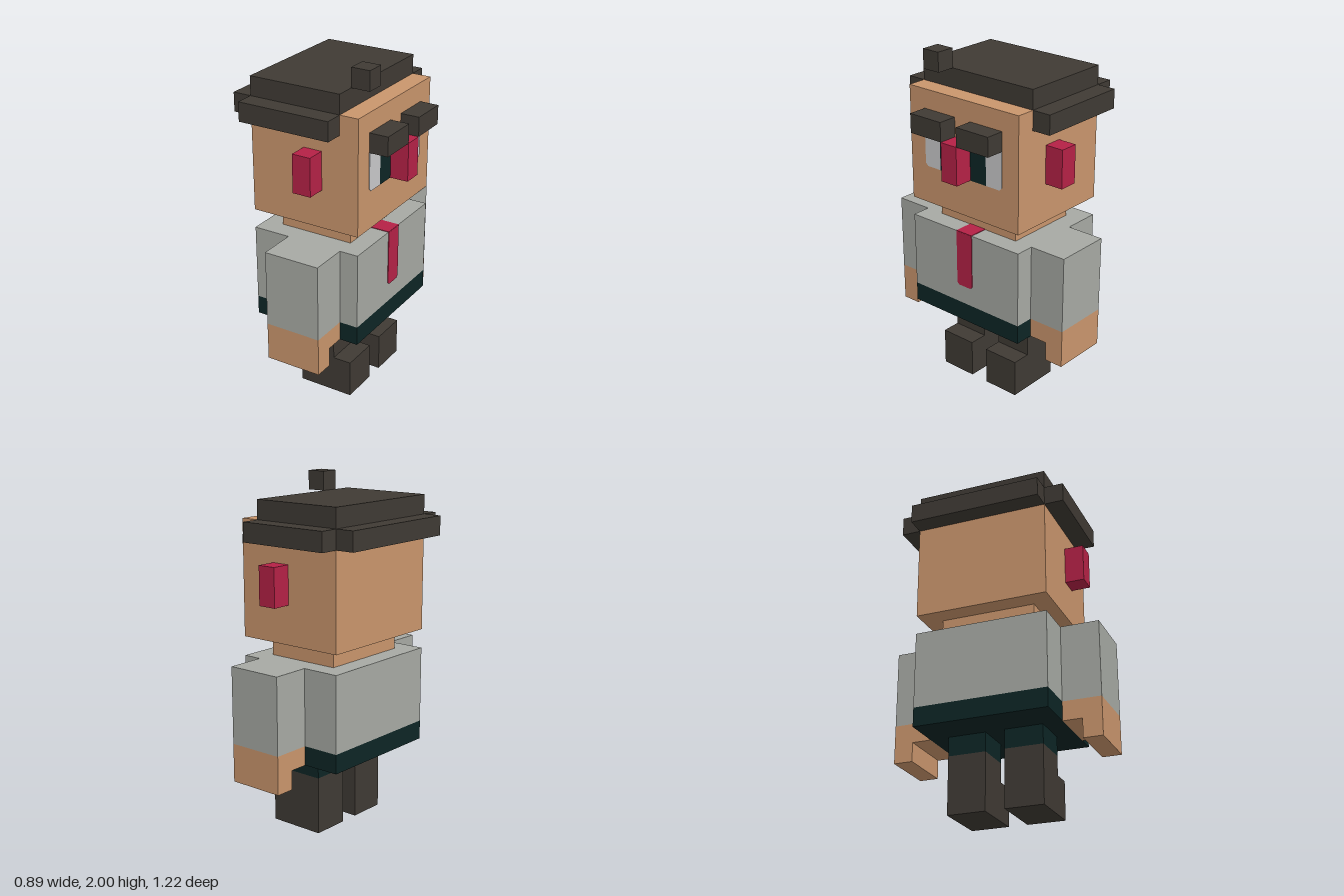
import * as THREE from 'three';

const U = 1 / 9; // one block unit

const mat = (name, color) => {
  const m = new THREE.MeshStandardMaterial({ color });
  m.name = name;
  return m;
};

export function createModel() {
  const skin = mat('skin', 0xc9956c);
  const hair = mat('dark brown', 0x3f3a34);
  const shirt = mat('shirt grey', 0xa6a9a3);
  const trousers = mat('dark teal', 0x0d2525);
  const red = mat('red', 0xb42146);
  const white = mat('eye white', 0xc9c9ca);

  const model = new THREE.Group();
  model.name = 'blockFigure';

  // Box from min/max corners in block units
  const box = (name, material, [x0, x1], [y0, y1], [z0, z1]) => {
    const g = new THREE.BoxGeometry((x1 - x0) * U, (y1 - y0) * U, (z1 - z0) * U);
    g.translate((x0 + x1) / 2 * U, (y0 + y1) / 2 * U, (z0 + z1) / 2 * U);
    const mesh = new THREE.Mesh(g, material);
    mesh.name = name;
    model.add(mesh);
  };

  // Thin plate on the +x side; a and b cut the bottom corners at z0 and z1
  const plate = (name, material, x, [y0, y1], [z0, z1], a, b) => {
    const s = new THREE.Shape([
      [-z0, y1], [-z1, y1], [-z1, y0 + b], [-z1 + b, y0], [-z0 - a, y0], [-z0, y0 + a],
    ].map(([u, v]) => new THREE.Vector2(u * U, v * U)));
    const g = new THREE.ExtrudeGeometry(s, { depth: 0.004, bevelEnabled: false });
    g.rotateY(Math.PI / 2);
    g.translate(x * U, 0, 0);
    const mesh = new THREE.Mesh(g, material);
    mesh.name = name;
    model.add(mesh);
  };

  // Head, neck and nose
  box('head', skin, [-3, 3], [10, 16], [-3.5, 3.5]);
  box('neck', skin, [-2, 2], [9, 10], [-2.5, 2.5]);
  box('nose', red, [3, 4], [12, 14], [-0.5, 0.5]);

  // Hair
  box('hairTop', hair, [-3, 2], [16, 17], [-3.5, 3.5]);
  box('hairBack', hair, [-4, -3], [15, 16], [-3.5, 3.5]);
  box('hairTuft', hair, [2, 3], [17, 18], [1.5, 2.5]);

  // Torso and tie
  box('shirtBody', shirt, [-3, 3], [5, 9], [-3.5, 3.5]);
  box('hips', trousers, [-3, 3], [4, 5], [-3.5, 3.5]);
  plate('tieFront', red, 3, [6, 9], [-0.5, 0.5], 0.12, 0.12);
  box('tieTop', red, [2, 3.03], [9, 9.03], [-0.5, 0.5]);

  // Paired parts, mirrored across z
  for (const s of [1, -1]) {
    const side = s > 0 ? 'Near' : 'Far';
    const z = (a, b) => (s > 0 ? [a, b] : [-b, -a]);

    box('hairSide' + side, hair, [-3, 2], [15, 16], z(3.5, 4.5));
    box('ear' + side, red, [0, 1], [12, 14], z(3.5, 4.5));
    box('eyebrow' + side, hair, [3, 4], [14, 15], z(0.5, 2.5));
    plate('eyeWhite' + side, white, 3, [12, 14], z(1.5, 2.5), s < 0 ? 0.15 : 0, s > 0 ? 0.15 : 0);
    plate('pupil' + side, trousers, 3, [12, 14], z(0.5, 1.5), 0, 0);

    box('sleeve' + side, shirt, [-1, 2], [5, 9], z(3.5, 5.5));
    box('hand' + side, skin, [-1, 2], [4, 5], z(3.5, 5.5));
    box('fingers' + side, skin, [-1, 2], [3, 4], z(4.5, 5.5));

    box('trouserLeg' + side, trousers, [-1, 1], [3, 4], z(0.5, 2.5));
    box('bootShaft' + side, hair, [-1, 1], [2, 3], z(0.5, 2.5));
    box('bootFoot' + side, hair, [-1, 2], [0, 2], z(0.5, 2.5));
  }
  return model;
}
